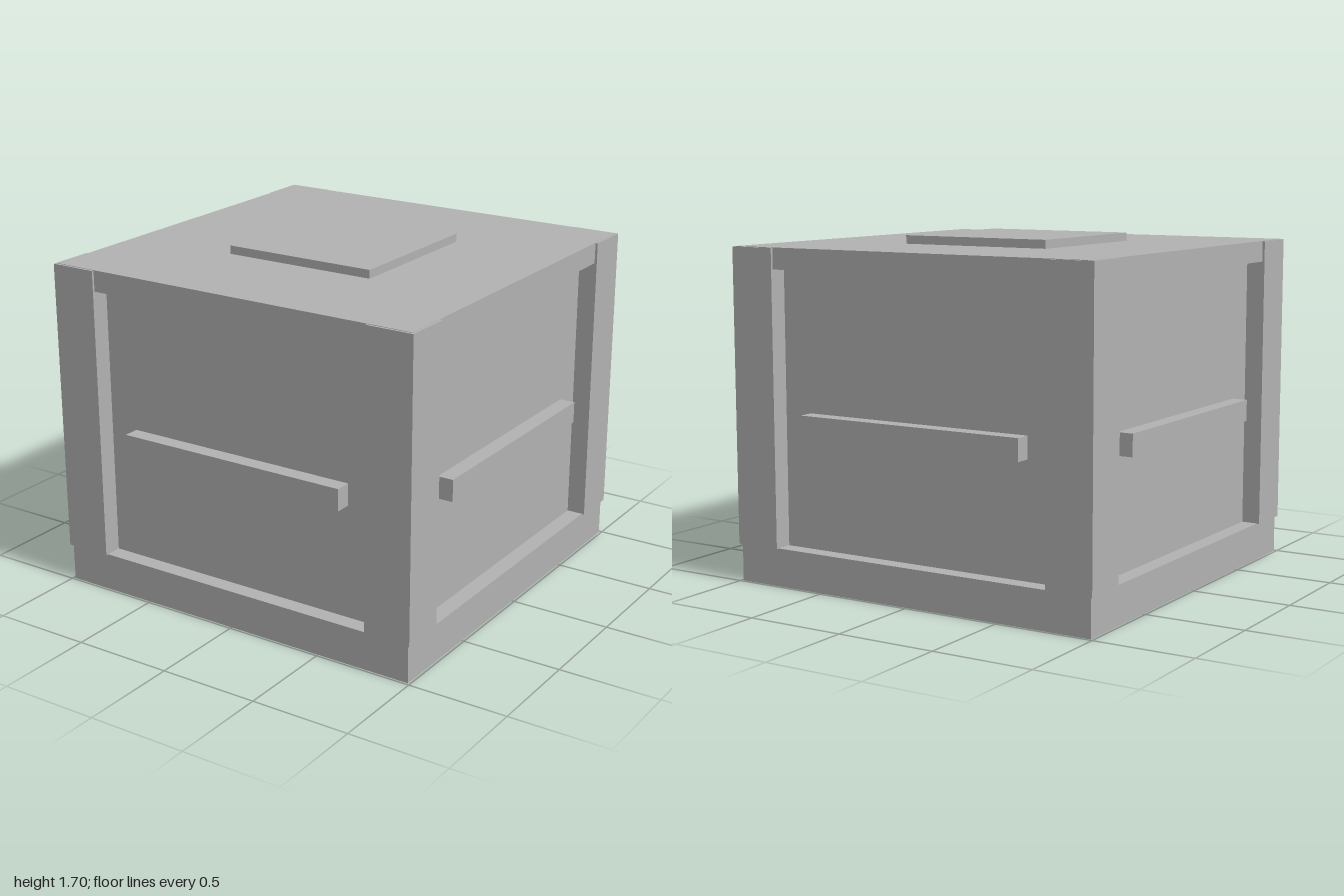
import * as THREE from 'three';

export function createModel() {
  const model = new THREE.Group();
  model.name = 'crate';
  const grey = new THREE.MeshStandardMaterial({ color: 0xb2b2b2 });
  grey.name = 'plain grey';

  // Box spanning the given corners
  function box(name, [x0, y0, z0], [x1, y1, z1], parent = model) {
    const mesh = new THREE.Mesh(new THREE.BoxGeometry(x1 - x0, y1 - y0, z1 - z0), grey);
    mesh.position.set((x0 + x1) / 2, (y0 + y1) / 2, (z0 + z1) / 2);
    mesh.name = name;
    parent.add(mesh);
  }

  // Plinth, recessed body, lid and raised lid plate
  box('base', [-0.988, 0, -0.988], [0.988, 0.19, 0.988]);
  box('body', [-0.905, 0.18, -0.905], [0.905, 1.56, 0.905]);
  box('lid', [-0.988, 1.55, -0.988], [0.988, 1.655, 0.988]);
  box('lidPlate', [-0.4, 1.65, -0.4], [0.4, 1.697, 0.4]);

  // Each quarter turn carries one corner post and one side handle
  for (let i = 0; i < 4; i++) {
    const side = new THREE.Group();
    side.name = 'side' + (i + 1);
    side.rotation.y = (i * Math.PI) / 2;
    box('cornerPost', [0.762, 0.188, 0.762], [1, 1.653, 1], side);
    box('handle', [-0.612, 0.75, 0.9], [0.612, 0.858, 0.985], side);
    model.add(side);
  }
  return model;
}
